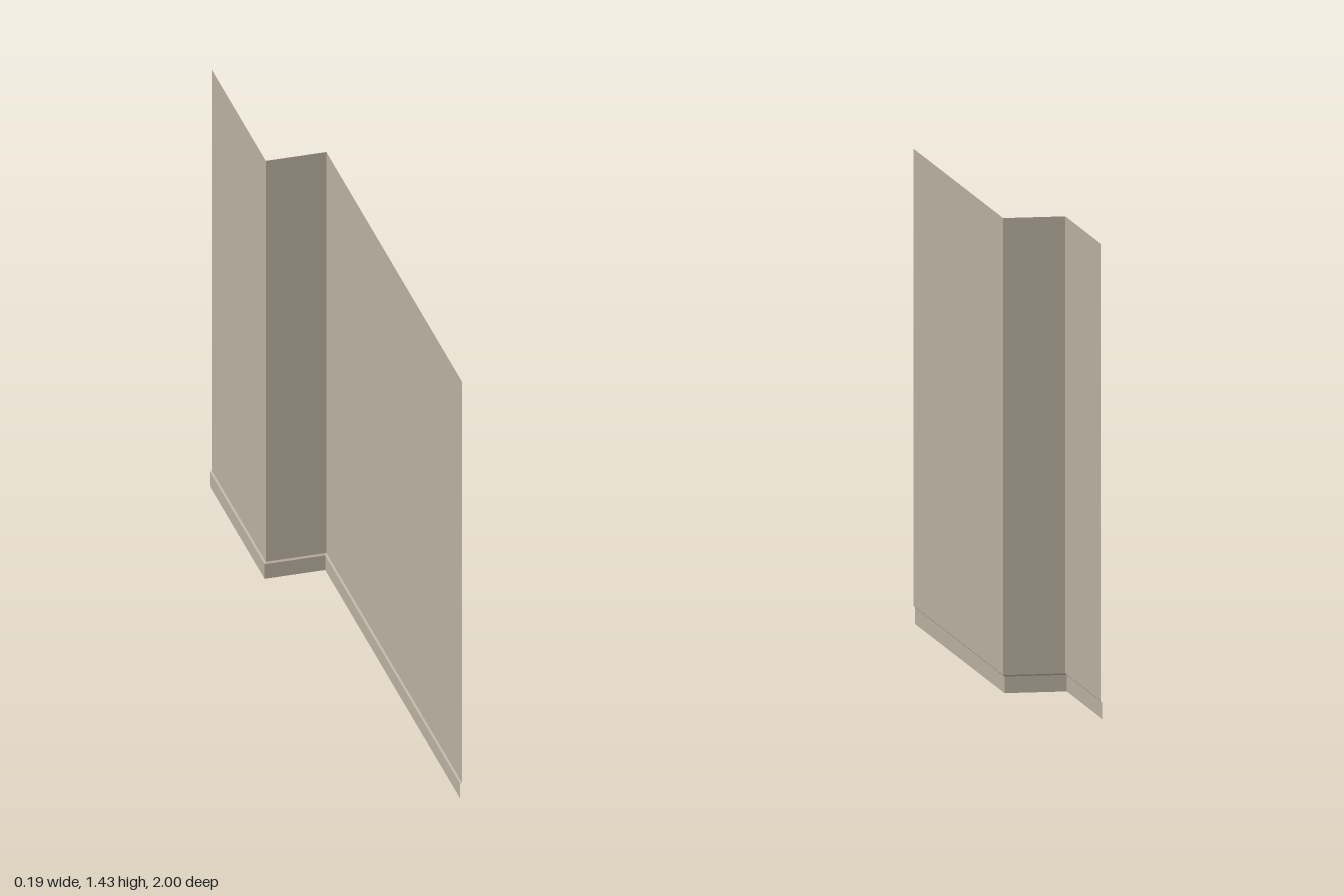
import * as THREE from 'three';

// Plan of the stepped wall, moved sideways by d with mitred corners: [x, z]
const plan = (d) => [
  [0.0965 - d, 1],
  [0.0965 - d, -0.43 + d],
  [-0.0915 - d, -0.43 + d],
  [-0.0915 - d, -1],
];

// Strip of flat faces joining the plan at (d0, y0) to the plan at (d1, y1)
function strip(name, d0, y0, d1, y1, material) {
  const low = plan(d0), high = plan(d1), pos = [];
  for (let i = 0; i < low.length - 1; i++) {
    const a = [low[i][0], y0, low[i][1]];
    const b = [low[i + 1][0], y0, low[i + 1][1]];
    const c = [high[i + 1][0], y1, high[i + 1][1]];
    const e = [high[i][0], y1, high[i][1]];
    pos.push(...a, ...b, ...c, ...a, ...c, ...e);
  }
  const geometry = new THREE.BufferGeometry();
  geometry.setAttribute('position', new THREE.Float32BufferAttribute(pos, 3));
  geometry.computeVertexNormals();
  const mesh = new THREE.Mesh(geometry, material);
  mesh.name = name;
  return mesh;
}

export function createModel() {
  const group = new THREE.Group();
  group.name = 'steppedWall';

  const plaster = new THREE.MeshStandardMaterial({ color: 0xb9b09f, side: THREE.DoubleSide });
  plaster.name = 'warm beige plaster';

  const inset = 0.005; // the skirting sits slightly to the -x side of the wall
  group.add(
    strip('skirting', inset, 0, inset, 0.05, plaster),
    strip('skirtingLedge', inset, 0.05, 0, 0.055, plaster),
    strip('wallPanel', 0, 0.055, 0, 1.43, plaster),
  );
  return group;
}
